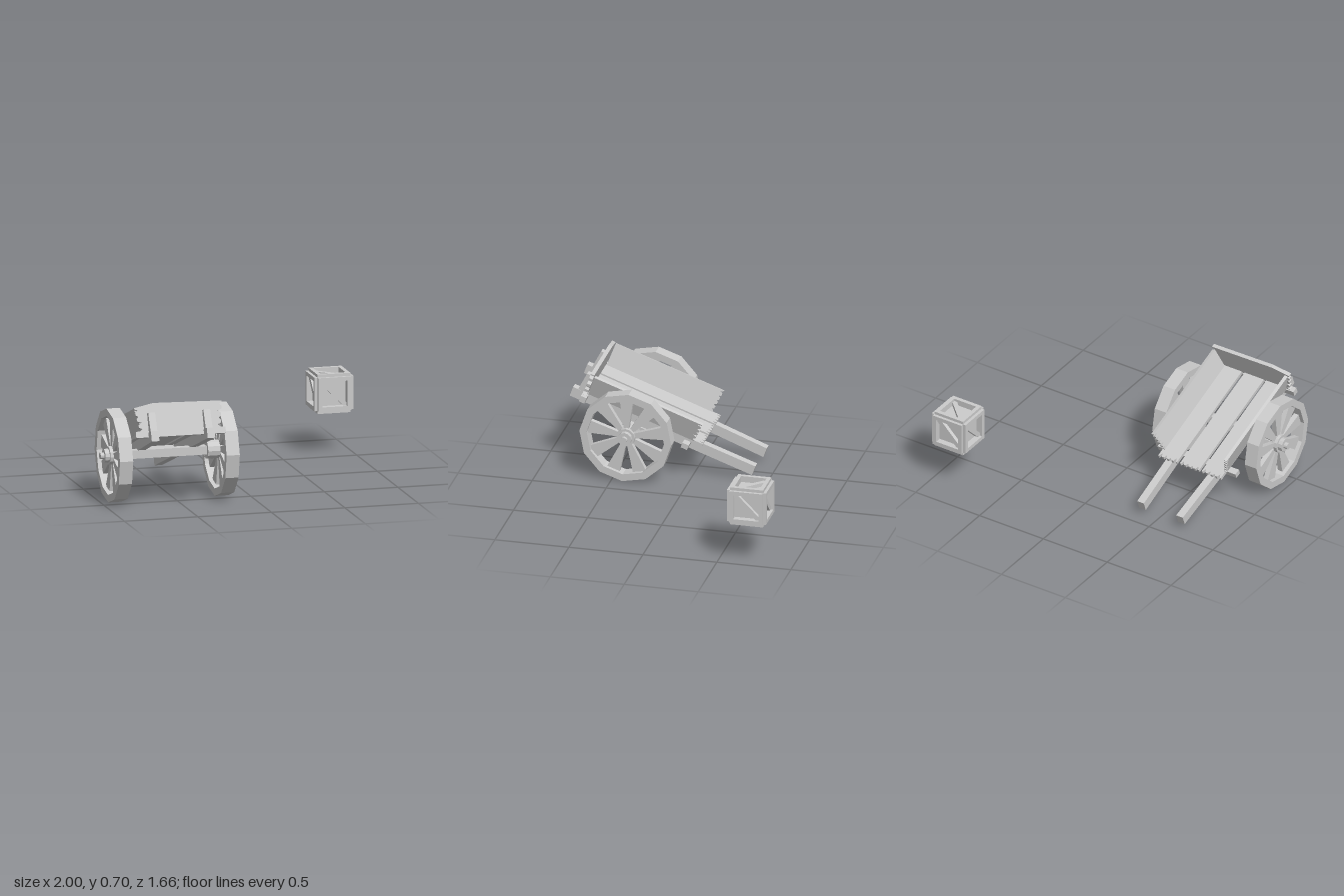
import * as THREE from 'three';

const material = new THREE.MeshStandardMaterial({ color: 0xcccccc, flatShading: true });

function add(parent, name, geometry, x = 0, y = 0, z = 0) {
  const mesh = new THREE.Mesh(geometry, material);
  mesh.name = name;
  mesh.position.set(x, y, z);
  parent.add(mesh);
  return mesh;
}

const box = (w, h, d) => new THREE.BoxGeometry(w, h, d);

// Flat board from counter-clockwise corners; edges listed in `jagged` get V-shaped notches
function board(corners, depth, jagged, teeth) {
  const points = [];
  corners.forEach(([x, y], i) => {
    const [x2, y2] = corners[(i + 1) % corners.length];
    const dx = x2 - x, dy = y2 - y, len = Math.hypot(dx, dy);
    points.push(new THREE.Vector2(x, y));
    if (!jagged.includes(i)) return;
    for (let k = 0; k < teeth; k++) {
      [0.2, 0.5, 0.8].forEach((f, j) => {
        const t = (k + f) / teeth;
        const cut = j === 1 ? 0.014 + 0.006 * ((k * 2 + i) % 3) : 0;
        points.push(new THREE.Vector2(x + dx * t - (dy / len) * cut, y + dy * t + (dx / len) * cut));
      });
    }
  });
  const geometry = new THREE.ExtrudeGeometry(new THREE.Shape(points), { depth, bevelEnabled: false });
  return geometry.translate(0, 0, -depth / 2);
}

function ring(radius, sides, start) {
  return Array.from({ length: sides }, (_, i) => {
    const a = start + (i / sides) * Math.PI * 2;
    return new THREE.Vector2(Math.cos(a) * radius, Math.sin(a) * radius);
  });
}

// Wheel on the x axis, outer side towards +x
function makeWheel() {
  const wheel = new THREE.Group();
  const start = THREE.MathUtils.degToRad(86);
  const shape = new THREE.Shape(ring(0.311, 12, start));
  shape.holes.push(new THREE.Path(ring(0.262, 12, start)));
  const rim = new THREE.ExtrudeGeometry(shape, { depth: 0.09, bevelEnabled: false });
  add(wheel, 'wheelRim', rim.translate(0, 0, -0.045).rotateY(Math.PI / 2));

  // Wedge spokes, broad at the rim
  for (let i = 0; i < 9; i++) {
    const spoke = board([[-0.014, 0.04], [0.014, 0.04], [0.046, 0.262], [-0.046, 0.262]], 0.035, [], 0);
    spoke.rotateZ((i / 9) * Math.PI * 2).rotateY(Math.PI / 2);
    add(wheel, 'spoke', spoke);
  }

  // Stepped hub
  [['hub', 0.062, -0.1, 0.04], ['hubCap', 0.046, 0.04, 0.07], ['axleEnd', 0.022, 0.07, 0.095]]
    .forEach(([name, r, x0, x1]) => {
      const geometry = new THREE.CylinderGeometry(r, r, x1 - x0, 12).rotateZ(Math.PI / 2);
      add(wheel, name, geometry, (x0 + x1) / 2);
    });
  return wheel;
}

// Handle rail along z that drifts sideways from xBack to xFront
function makeRail(xBack, xFront) {
  const z0 = -0.845, z1 = 0.46;
  const geometry = box(0.052, 0.068, z1 - z0).translate(0, 0.052, (z0 + z1) / 2);
  const p = geometry.attributes.position;
  for (let i = 0; i < p.count; i++) {
    const t = (p.getZ(i) - z0) / (z1 - z0);
    p.setX(i, p.getX(i) + xBack + (xFront - xBack) * t);
  }
  geometry.computeVertexNormals();
  return geometry;
}

function makeCart() {
  const cart = new THREE.Group();
  cart.name = 'cart';

  for (const side of [-1, 1]) {
    const wheel = makeWheel();
    wheel.name = side > 0 ? 'leftWheel' : 'rightWheel';
    wheel.position.x = side * 0.3625;
    if (side < 0) wheel.scale.x = -1;
    cart.add(wheel);
  }
  add(cart, 'axle', box(0.56, 0.056, 0.05));

  // Tilted bed, rising to the front
  const bed = new THREE.Group();
  bed.name = 'bed';
  bed.rotation.x = THREE.MathUtils.degToRad(-20);
  cart.add(bed);

  add(bed, 'rightRail', makeRail(-0.1425, -0.1975));
  add(bed, 'leftRail', makeRail(0.1625, 0.1825));

  // Floor planks, splintered at the back
  [[-0.1675, 0.15], [0.0025, 0.15], [0.174, 0.147]].forEach(([x, w]) => {
    const plank = board([[-w / 2, -0.35], [w / 2, -0.35], [w / 2, 0.474], [-w / 2, 0.474]], 0.022, [2], 4);
    add(bed, 'floorPlank', plank.rotateX(-Math.PI / 2), x, 0.098);
  });

  // Side boards leaning outwards
  for (const side of [-1, 1]) {
    const panel = board([[0, -0.345], [0.155, -0.345], [0.16, 0.43], [0, 0.415]], 0.022, [2], 5);
    panel.rotateX(-Math.PI / 2).rotateZ(Math.PI / 2);
    const mesh = add(bed, 'sideBoard', panel, side * 0.241, 0.108, 0);
    mesh.rotation.z = -side * 0.28;
  }

  // Front board with worn ends and an uneven top
  const front = board([[-0.272, 0.09], [0.272, 0.09], [0.298, 0.272], [-0.17, 0.282], [-0.302, 0.255]], 0.026, [1, 4], 4);
  add(bed, 'frontBoard', front, 0, 0, 0.364);

  // Cross beams and the posts bracing the front board
  add(bed, 'frontCrossBeam', box(0.61, 0.042, 0.04), 0, 0.077, 0.363);
  add(bed, 'backCrossBeam', box(0.61, 0.036, 0.045), 0, 0.069, -0.374);
  for (const x of [-0.1925, 0.1825]) {
    const post = board([[-0.425, 0.08], [-0.375, 0.08], [-0.375, 0.215], [-0.407, 0.215]], 0.046, [], 0);
    add(bed, 'frontPost', post.rotateY(Math.PI / 2), x);
  }
  return cart;
}

function makeCrate() {
  const crate = new THREE.Group();
  crate.name = 'crate';
  add(crate, 'crateCore', box(0.18, 0.18, 0.18));

  // Each face: four frame strips and one diagonal brace
  const turns = [[0, 0], [0, 1], [0, 2], [0, 3], [1, 0], [-1, 0]];
  for (const [rx, ry] of turns) {
    const face = new THREE.Group();
    face.name = 'crateFace';
    face.rotation.set(rx * Math.PI / 2, ry * Math.PI / 2, 0);
    for (const s of [-1, 1]) {
      add(face, 'crateStrip', box(0.224, 0.027, 0.047), 0, s * 0.0985, 0.1085);
      add(face, 'crateStrip', box(0.027, 0.17, 0.047), s * 0.0985, 0, 0.1085);
    }
    // Brace from upper left to lower right, clipped to the opening
    const h = 0.086, c = 0.022;
    const brace = board([[-h, h], [-h, h - c], [h - c, -h], [h, -h], [h, c - h], [c - h, h]], 0.03, [], 0);
    add(face, 'crateBrace', brace, 0, 0, 0.1);
    crate.add(face);
  }
  return crate;
}

export function createModel() {
  const model = new THREE.Group();
  model.name = 'cartAndCrate';

  const cart = makeCart();
  cart.position.set(-0.5425, 0.311, 0.405);
  model.add(cart);

  const crate = makeCrate();
  crate.position.set(0.868, 0.405, -0.695);
  model.add(crate);
  return model;
}
